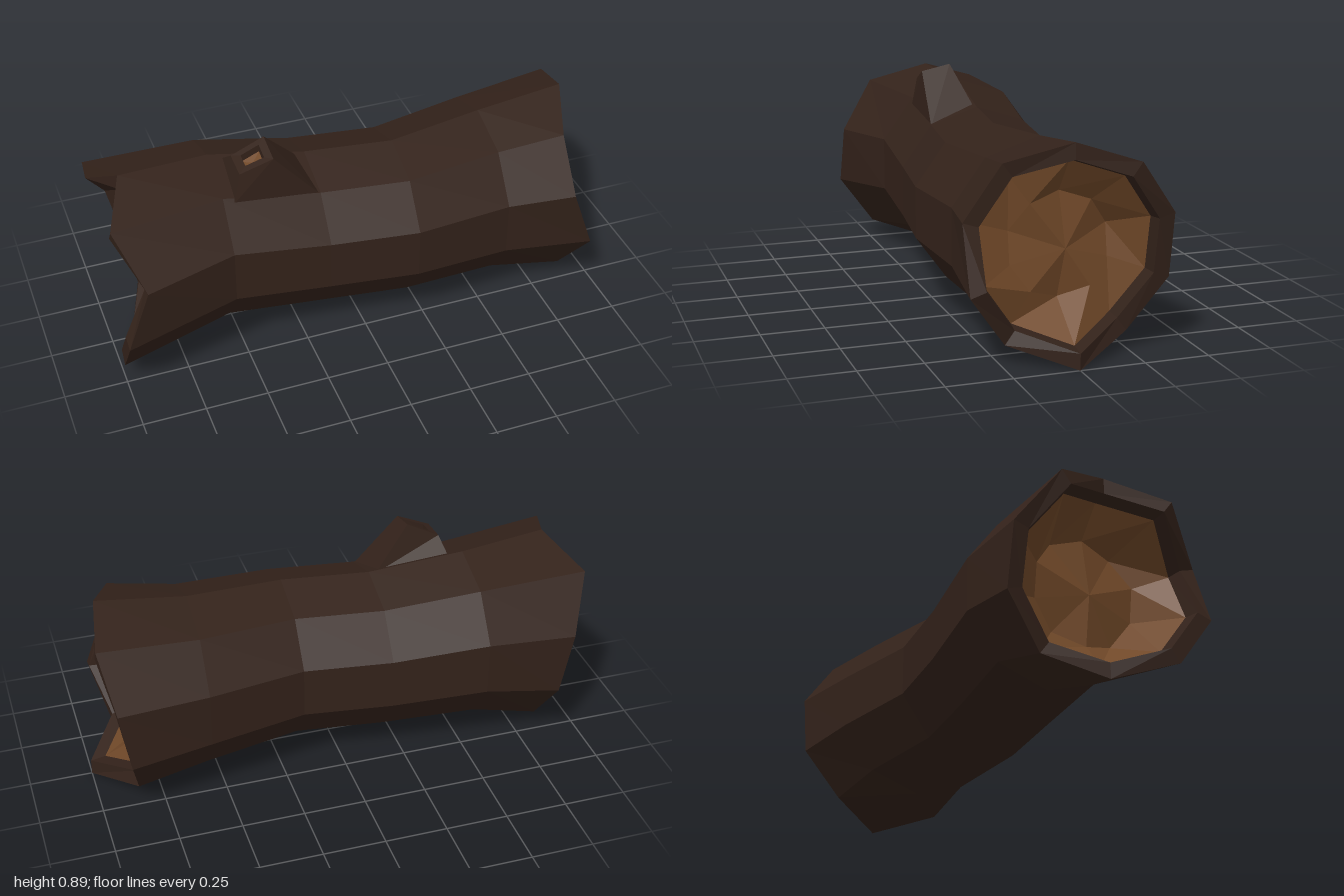
import * as THREE from 'three';

const SIDES = 10;
const V = (x, y, z) => new THREE.Vector3(x, y, z);
const bark = new THREE.MeshStandardMaterial({ color: 0x33221a, flatShading: true });
const wood = new THREE.MeshStandardMaterial({ color: 0x704828, flatShading: true });

// Joins consecutive rings of points with flat quads
function loft(name, rings, material) {
  const points = [];
  for (let i = 0; i < rings.length - 1; i++) {
    const a = rings[i], b = rings[i + 1], n = a.length;
    for (let k = 0; k < n; k++) {
      const m = (k + 1) % n;
      points.push(a[k], a[m], b[m], a[k], b[m], b[k]);
    }
  }
  const geometry = new THREE.BufferGeometry().setFromPoints(points);
  geometry.computeVertexNormals();
  const mesh = new THREE.Mesh(geometry, material);
  mesh.name = name;
  return mesh;
}

// Ten-sided cross-section, starting at the top and turning to the front;
// x is one number or a list with one entry per corner
function ring(x, r, cy = 0.405, cz = 0) {
  return Array.from({ length: SIDES }, (_, k) => {
    const a = (k / SIDES) * Math.PI * 2;
    return V(Array.isArray(x) ? x[k] : x, cy + r * Math.cos(a), cz + r * Math.sin(a));
  });
}

const shift = (list, d) => list.map((x) => x + d);
const point = (x, y, z) => Array(SIDES).fill(V(x, y, z));

export function createModel() {
  const group = new THREE.Group();
  group.name = 'hollowLog';

  // Jagged ends
  const leftEnd = [0.93, 0.84, 0.84, 0.93, 0.87, 1.0, 0.85, 0.89, 0.93, 0.97];
  const rightEnd = [-0.91, -1, -0.91, -1, -1, -0.91, -0.83, -0.86, -0.91, -1];
  const leftLip = ring(shift(leftEnd, -0.06), 0.332);
  const rightLip = ring(shift(rightEnd, 0.06), 0.332);

  // Bark: inner lip, rim, crooked trunk, rim, inner lip
  group.add(loft('bark', [
    rightLip,
    ring(rightEnd, 0.342),
    ring(rightEnd, 0.405),
    ring(-0.55, 0.352, 0.44, -0.04),
    ring(-0.17, 0.334, 0.407, 0),
    ring(0.18, 0.334, 0.407, 0.047),
    ring(0.57, 0.358, 0.407, 0),
    ring(leftEnd, 0.405),
    ring(leftEnd, 0.342),
    leftLip,
  ], bark));

  // Shallow rough hollows at both ends
  const rough = [0, 0.02, -0.01, 0.01, 0.03, -0.01, 0.02, 0, -0.02, 0.02];
  group.add(loft('leftHollow', [
    leftLip,
    ring(rough.map((d) => 0.77 + d), 0.2),
    point(0.79, 0.39, -0.02),
  ], wood));
  group.add(loft('rightHollow', [
    point(-0.76, 0.4, 0.02),
    ring(rough.map((d) => -0.75 + d), 0.22),
    rightLip,
  ], wood));

  // Broken branch stub on top
  const rim = [V(-0.48, 0.82, 0.165), V(-0.35, 0.87, 0.18), V(-0.35, 0.895, 0.06), V(-0.48, 0.83, 0.05)];
  const base = [V(-0.51, 0.7, 0.18), V(-0.17, 0.67, 0.195), V(-0.2, 0.73, 0), V(-0.5, 0.76, -0.04)];
  const centre = V(-0.41, 0.855, 0.11);
  const lip = rim.map((p) => p.clone().lerp(centre, 0.45));
  const inner = lip.map((p) => p.clone().add(V(0, -0.03, 0)));
  const stub = new THREE.Group();
  stub.name = 'branchStub';
  stub.add(loft('stubBark', [base, rim, lip, inner], bark));
  stub.add(loft('stubCore', [inner, Array(4).fill(V(-0.41, 0.82, 0.11))], wood));
  group.add(stub);

  return group;
}
